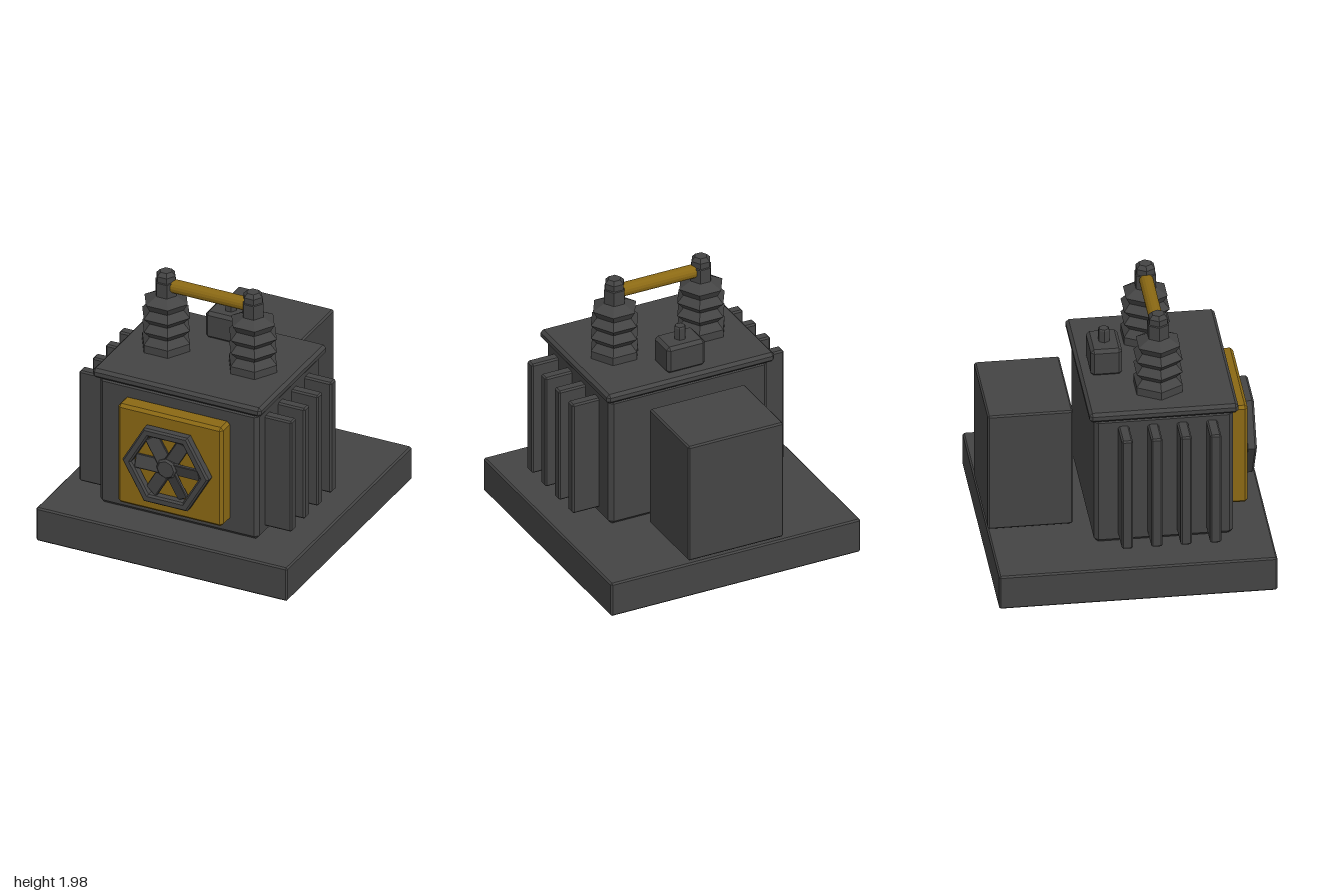
import * as THREE from 'three';
import { ConvexGeometry } from 'three/addons/geometries/ConvexGeometry.js';

export function createModel() {
  const model = new THREE.Group();
  model.name = 'transformer';
  const darkIron = new THREE.MeshStandardMaterial({ color: 0x444444, flatShading: true });
  darkIron.name = 'darkIron';
  const brass = new THREE.MeshStandardMaterial({ color: 0x8b6914, flatShading: true });
  brass.name = 'brass';

  function add(name, geometry, material, parent = model) {
    const mesh = new THREE.Mesh(geometry, material);
    mesh.name = name;
    parent.add(mesh);
    return mesh;
  }

  // Box with chamfered edges, given by its ranges in x, y and z
  function chamferBox(name, [x0, x1], [y0, y1], [z0, z1], bevel, material, parent) {
    const half = [(x1 - x0) / 2, (y1 - y0) / 2, (z1 - z0) / 2];
    const points = [];
    for (const sx of [-1, 1]) for (const sy of [-1, 1]) for (const sz of [-1, 1]) {
      const sign = [sx, sy, sz];
      for (let axis = 0; axis < 3; axis++) {
        const c = half.map((h, i) => sign[i] * (i === axis ? h : h - bevel));
        points.push(new THREE.Vector3(...c));
      }
    }
    const mesh = add(name, new ConvexGeometry(points), material, parent);
    mesh.position.set((x0 + x1) / 2, (y0 + y1) / 2, (z0 + z1) / 2);
    return mesh;
  }

  // Turned part with few sides and a corner on the x axis; profile is [radius, height]
  function turned(name, profile, sides, material, parent) {
    const points = profile.map(([r, y]) => new THREE.Vector2(r, y));
    return add(name, new THREE.LatheGeometry(points, sides, Math.PI / 2), material, parent);
  }

  // Base, tank, lid and rear cabinet
  chamferBox('base', [-1, 1], [0, 0.27], [-1, 1], 0.012, darkIron);
  chamferBox('tank', [-0.634, 0.634], [0.27, 1.3], [-0.268, 0.732], 0.03, darkIron);
  chamferBox('lid', [-0.673, 0.67], [1.295, 1.37], [-0.306, 0.765], 0.022, darkIron);
  chamferBox('rearCabinet', [-0.382, 0.38], [0.292, 1.235], [-1, -0.388], 0.012, darkIron);

  // Cooling fins on both sides
  for (const side of [-1, 1]) {
    for (const z of [0.577, 0.365, 0.154, -0.058]) {
      const xs = side < 0 ? [-0.848, -0.6] : [0.6, 0.845];
      chamferBox('coolingFin', xs, [0.335, 1.235], [z - 0.04, z + 0.04], 0.012, darkIron);
    }
  }

  // Fan on its mounting panel
  chamferBox('fanPanel', [-0.42, 0.416], [0.39, 1.195], [0.72, 0.865], 0.022, brass);
  const fan = new THREE.Group();
  fan.name = 'fan';
  fan.position.set(-0.003, 0.793, 0.86);
  model.add(fan);
  const ring = turned('fanRing', [
    [0.33, 0], [0.345, 0.015], [0.345, 0.065], [0.33, 0.08],
    [0.288, 0.08], [0.273, 0.065], [0.273, 0.015], [0.288, 0], [0.33, 0],
  ], 6, darkIron, fan);
  ring.rotation.x = Math.PI / 2;
  const hub = turned('fanHub', [[0.08, 0], [0.08, 0.055], [0.066, 0.07], [0, 0.07]], 8, darkIron, fan);
  hub.rotation.x = Math.PI / 2;
  for (let i = 0; i < 6; i++) {
    const arm = new THREE.Group();
    arm.name = 'fanArm';
    arm.rotation.z = i * Math.PI / 3;
    fan.add(arm);
    const blade = chamferBox('fanBlade', [0.05, 0.255], [-0.053, 0.053], [0.02, 0.045], 0.005, darkIron, arm);
    blade.rotation.x = 0.3;
  }

  // Ribbed insulators with terminal caps
  const insulatorProfile = [
    [0, 1.36], [0.19, 1.36], [0.19, 1.43], [0.14, 1.482], [0.19, 1.535], [0.14, 1.588],
    [0.19, 1.64], [0.14, 1.693], [0.172, 1.748], [0.083, 1.795],
    [0.083, 1.905], [0.075, 1.91], [0.075, 1.955], [0.048, 1.983], [0, 1.983],
  ];
  for (const x of [-0.348, 0.344]) {
    turned('insulator', insulatorProfile, 6, darkIron).position.set(x, 0, 0.227);
  }

  // Bar joining the terminals
  const bar = add('terminalBar', new THREE.CylinderGeometry(0.051, 0.051, 0.58, 16), brass);
  bar.rotation.z = Math.PI / 2;
  bar.position.set(-0.002, 1.872, 0.227);

  // Control box with its knob
  chamferBox('controlBox', [-0.155, 0.15], [1.365, 1.58], [-0.228, -0.002], 0.024, darkIron);
  turned('controlKnob', [[0.044, 1.57], [0.044, 1.67], [0.036, 1.68], [0, 1.68]], 6, darkIron)
    .position.set(-0.004, 0, -0.117);

  return model;
}
